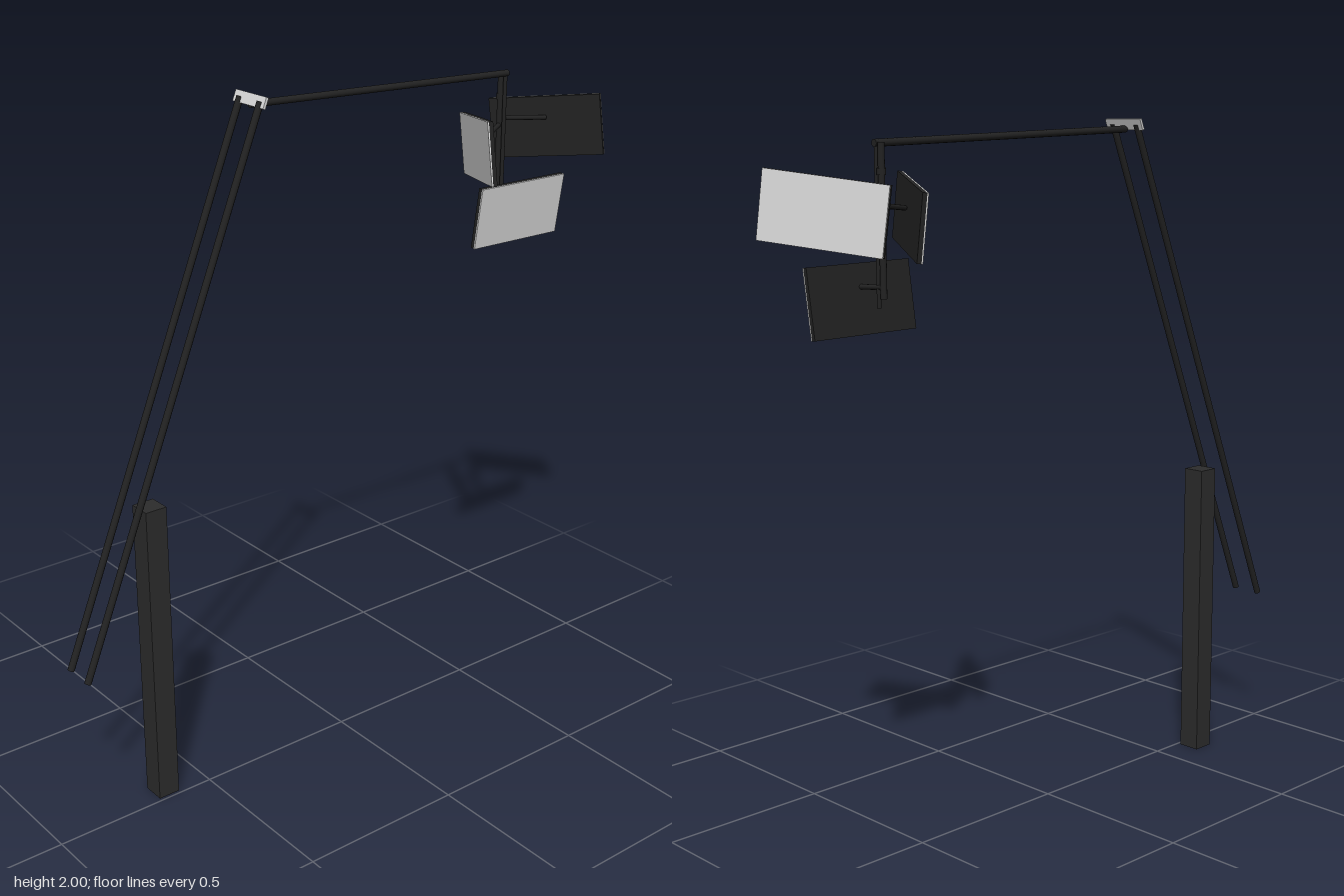
import * as THREE from 'three';

const V = (x, y, z) => new THREE.Vector3(x, y, z);

export function createModel() {
  const model = new THREE.Group();
  model.name = 'lampPost';
  const mat = (name, color) => {
    const m = new THREE.MeshStandardMaterial({ color });
    m.name = name;
    return m;
  };
  const postDark = mat('post charcoal', 0x2c2c2c);
  const tubeDark = mat('tube black', 0x222222);
  const light = mat('panel light grey', 0xdcdcdc);

  const add = (name, geometry, material, pos, parent = model) => {
    const m = new THREE.Mesh(geometry, material);
    m.name = name;
    m.position.copy(pos);
    parent.add(m);
    return m;
  };
  // Round bar between two points
  const bar = (name, a, b, r) => {
    const d = b.clone().sub(a);
    const m = add(name, new THREE.CylinderGeometry(r, r, d.length(), 12), tubeDark, a.clone().lerp(b, 0.5));
    m.quaternion.setFromUnitVectors(V(0, 1, 0), d.normalize());
    return m;
  };
  // Flat lamp: dark housing with a light face towards u x v
  const lamp = (name, centre, u, v) => {
    const g = new THREE.Group();
    g.name = name;
    const x = u.clone().normalize();
    const n = u.clone().cross(v).normalize();
    const y = n.clone().cross(x);
    g.quaternion.setFromRotationMatrix(new THREE.Matrix4().makeBasis(x, y, n));
    g.position.copy(centre);
    const w = u.length(), h = v.length();
    add('lampHousing', new THREE.BoxGeometry(w, h, 0.012), tubeDark, V(0, 0, -0.002), g);
    add('lampFace', new THREE.BoxGeometry(w, h, 0.004), light, V(0, 0, 0.006), g);
    model.add(g);
  };

  // Square ground post
  add('groundPost', new THREE.BoxGeometry(0.066, 0.92, 0.068), postDark, V(-0.634, 0.46, -0.045));

  // Twin leaning poles either side of the post, joined by a top plate
  for (const z of [0, -0.09]) bar('leaningPole', V(-0.884, 0.475, z), V(-0.268, 1.985, z), 0.01);
  const plate = add('topPlate', new THREE.BoxGeometry(0.008, 0.032, 0.136), light, V(-0.267, 1.984, -0.045));
  plate.rotation.z = -0.387;

  // Cantilever arm and hanging rods
  bar('cantileverArm', V(-0.268, 1.971, -0.047), V(0.662, 1.94, -0.047), 0.01);
  bar('hangingPole', V(0.655, 1.942, -0.066), V(0.655, 1.55, -0.066), 0.009);
  bar('innerRod', V(0.655, 1.94, -0.047), V(0.655, 1.525, -0.047), 0.006);
  add('collar', new THREE.CylinderGeometry(0.012, 0.012, 0.018, 12), tubeDark, V(0.655, 1.87, -0.066));

  // Brackets from the hanging pole to each lamp
  bar('rightBracket', V(0.655, 1.785, -0.066), V(0.515, 1.772, 0.012), 0.007);
  bar('leftBracket', V(0.655, 1.805, -0.066), V(0.79, 1.798, -0.008), 0.007);
  bar('frontBracket', V(0.655, 1.58, -0.066), V(0.655, 1.575, 0.025), 0.007);

  // Three lamps facing outward
  lamp('frontLamp', V(0.653, 1.543, 0.03), V(0.335, -0.005, 0), V(0.003, 0.184, 0.025));
  lamp('leftLamp', V(0.8, 1.77, -0.013), V(-0.165, -0.04, -0.297), V(-0.015, 0.18, -0.016));
  lamp('rightLamp', V(0.5, 1.75, 0.01), V(0.165, -0.045, 0.295).multiply(V(-1, -1, 1)).negate().multiply(V(1, 1, 1)).negate(), V(0, 0.18, -0.027));

  return model;
}
